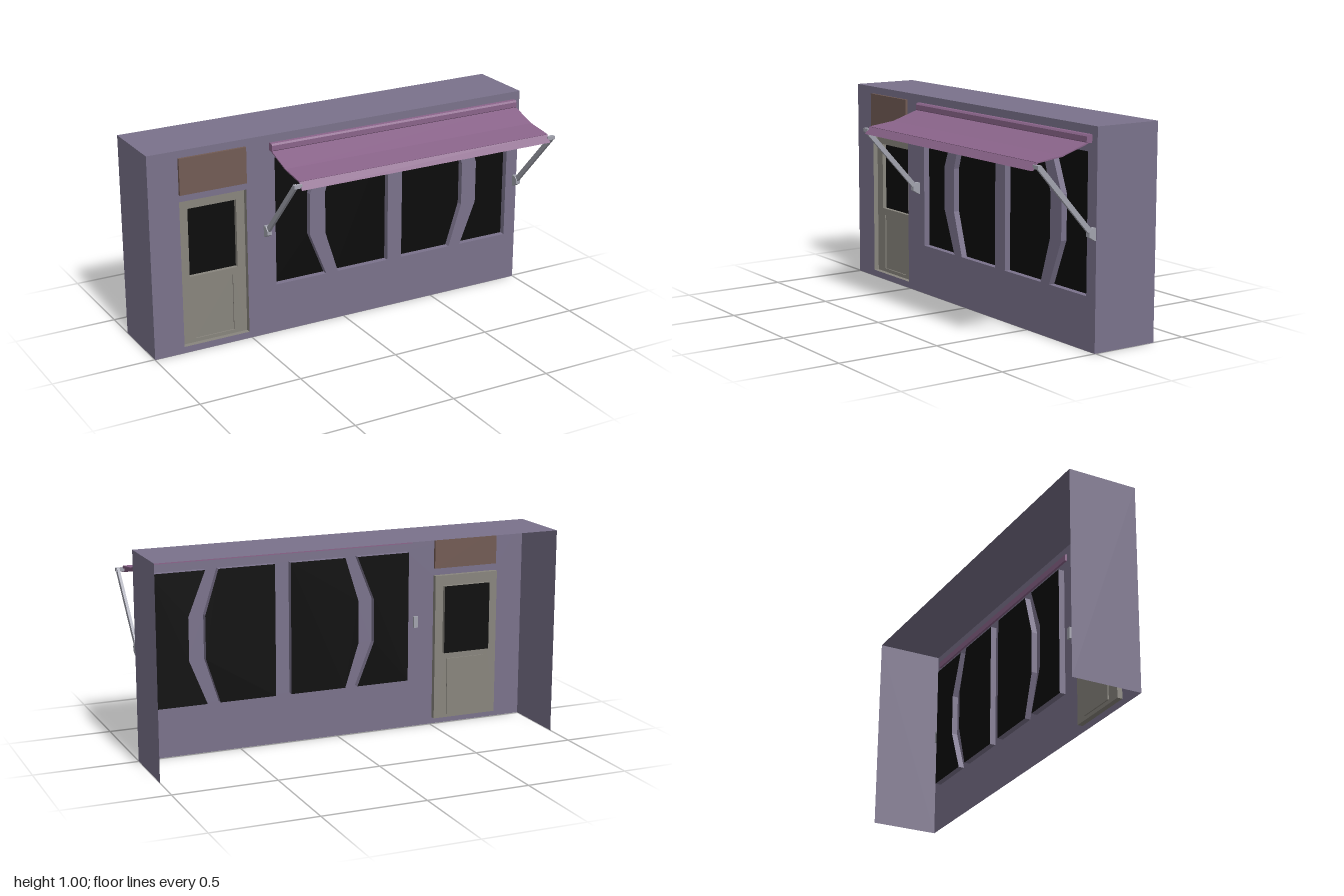
import * as THREE from 'three';

const CENTRE = 0.2855; // symmetry axis of the windows and awning
const WALL_Z = 0.005;

const mat = (color) => new THREE.MeshStandardMaterial({ color, side: THREE.DoubleSide, flatShading: true });

const rect = (x0, y0, x1, y1) => [[x0, y0], [x1, y0], [x1, y1], [x0, y1]];
const toShape = (pts, holes = []) => {
  const s = new THREE.Shape(pts.map(([x, y]) => new THREE.Vector2(x, y)));
  for (const h of holes) s.holes.push(new THREE.Path(h.map(([x, y]) => new THREE.Vector2(x, y))));
  return s;
};

// Flat sheet facing +z, with optional holes
function sheet(pts, z, holes) {
  return new THREE.ShapeGeometry(toShape(pts, holes)).translate(0, 0, z);
}

// Side band joining an outline at z0 to the same outline at z1
function reveal(pts, z0, z1) {
  const pos = [];
  pts.forEach(([ax, ay], i) => {
    const [bx, by] = pts[(i + 1) % pts.length];
    pos.push(ax, ay, z0, bx, by, z0, bx, by, z1, ax, ay, z0, bx, by, z1, ax, ay, z1);
  });
  const g = new THREE.BufferGeometry();
  g.setAttribute('position', new THREE.Float32BufferAttribute(pos, 3));
  g.computeVertexNormals();
  return g;
}

// Side profile given as [z, y], extruded from x0 to x1
function profileX(pts, x0, x1) {
  return new THREE.ExtrudeGeometry(toShape(pts), { depth: x1 - x0, bevelEnabled: false })
    .rotateY(-Math.PI / 2).translate(x1, 0, 0);
}

function box(x0, x1, y0, y1, z0, z1) {
  return new THREE.BoxGeometry(x1 - x0, y1 - y0, z1 - z0)
    .translate((x0 + x1) / 2, (y0 + y1) / 2, (z0 + z1) / 2);
}

export function createModel() {
  const root = new THREE.Group();
  const wall = mat(0x7a728b), glass = mat(0x0b0b0b), doorPaint = mat(0x88857d);
  const cloth = mat(0x8a648a), brown = mat(0x725b54), metal = mat(0xa2a3ae);

  const add = (name, geometry, material, parent = root) => {
    const m = new THREE.Mesh(geometry, material);
    m.name = name;
    parent.add(m);
    return m;
  };

  // Window panes: two per window, divided by a bent mullion, mirrored
  const B = 0.246, T = 0.885;
  const panes = [
    [[-0.365, B], [-0.096, B], [-0.182, 0.46], [-0.182, 0.67], [-0.096, T], [-0.365, T]],
    [[-0.032, B], [0.246, B], [0.246, T], [-0.032, T], [-0.1, 0.67], [-0.1, 0.46]],
  ];
  const allPanes = [...panes, ...panes.map((p) => p.map(([x, y]) => [2 * CENTRE - x, y]).reverse())];
  const doorway = rect(-0.85, 0.032, -0.513, 0.755);

  // Building shell: front, two ends and roof, open behind and below
  const shell = new THREE.Group();
  shell.name = 'buildingShell';
  root.add(shell);
  add('frontWall', sheet(rect(-1, 0, 1, 1), WALL_Z, [...allPanes, doorway]), wall, shell);
  const depth = 0.33 + WALL_Z, midZ = (WALL_Z - 0.33) / 2;
  for (const s of [-1, 1]) {
    add(s > 0 ? 'leftEndWall' : 'rightEndWall',
      new THREE.PlaneGeometry(depth, 1).rotateY(s * Math.PI / 2).translate(s, 0.5, midZ), wall, shell);
  }
  add('roof', new THREE.PlaneGeometry(2, depth).rotateX(-Math.PI / 2).translate(0, 1, midZ), wall, shell);

  // Recessed glazing
  const windows = new THREE.Group();
  windows.name = 'windows';
  root.add(windows);
  for (const p of allPanes) {
    add('windowReveal', reveal(p, WALL_Z, -0.025), wall, windows);
    add('windowGlass', sheet(p, -0.025), glass, windows);
  }

  // Door: recessed leaf, glazed above with a shallow panel below
  const door = new THREE.Group();
  door.name = 'door';
  root.add(door);
  const light = rect(-0.8, 0.368, -0.555, 0.705);
  const panel = rect(-0.78, 0.05, -0.58, 0.335);
  const doorZ = -0.02;
  add('doorReveal', reveal(doorway, WALL_Z, doorZ), doorPaint, door);
  add('doorLeaf', sheet(doorway, doorZ, [light, panel]), doorPaint, door);
  add('doorGlassReveal', reveal(light, doorZ, doorZ - 0.02), doorPaint, door);
  add('doorGlass', sheet(light, doorZ - 0.02), glass, door);
  add('doorPanelEdge', reveal(panel, doorZ, doorZ - 0.006), doorPaint, door);
  add('doorPanel', sheet(panel, doorZ - 0.006), doorPaint, door);

  // Board above the door, set through the wall
  add('signBoard', box(-0.85, -0.515, 0.79, 0.965, -0.008, 0.018), brown);

  // Awning: cassette, sagging cloth and sloping valance
  const awning = new THREE.Group();
  awning.name = 'awning';
  root.add(awning);
  const x0 = -0.392, x1 = 0.963;
  add('awningCassette', profileX([[-0.006, 0.925], [0.029, 0.925], [0.035, 0.931], [0.035, 0.955],
    [0.028, 0.963], [0.008, 0.963], [-0.006, 0.955]], x0, x1), cloth, awning);
  add('awningCloth', profileX([[0.024, 0.924], [0.165, 0.878], [0.3, 0.861], [0.302, 0.867],
    [0.165, 0.884], [0.024, 0.93]], x0, x1), cloth, awning);
  add('awningValance', profileX([[0.3, 0.867], [0.294, 0.861], [0.318, 0.832], [0.328, 0.832]],
    x0, x1), cloth, awning);

  // Support arms, mirrored at the two ends of the awning
  const tip = [0.308, 0.85], foot = [0.02, 0.532];
  const [dz, dy] = [tip[0] - foot[0], tip[1] - foot[1]];
  const len = Math.hypot(dz, dy), nz = -dy / len * 0.012, ny = dz / len * 0.012;
  const armProfile = [[foot[0] - nz, foot[1] - ny], [tip[0] - nz, tip[1] - ny],
    [tip[0] + nz, tip[1] + ny], [foot[0] + nz, foot[1] + ny]];
  const footProfile = [[-0.006, 0.503], [0.01, 0.503], [0.042, 0.522], [0.042, 0.543],
    [0.025, 0.56], [-0.006, 0.56]];
  for (const s of [-1, 1]) {
    const arm = new THREE.Group();
    arm.name = s > 0 ? 'leftArm' : 'rightArm';
    awning.add(arm);
    const span = (a, b) => [CENTRE + s * a, CENTRE + s * b].sort((p, q) => p - q);
    add('armBar', profileX(armProfile, ...span(0.695, 0.708)), metal, arm);
    add('wallBracket', profileX(footProfile, ...span(0.69, 0.713)), metal, arm);
    add('armPivot', box(...span(0.67, 0.711), 0.84, 0.857, 0.3, 0.317), metal, arm);
  }

  return root;
}
